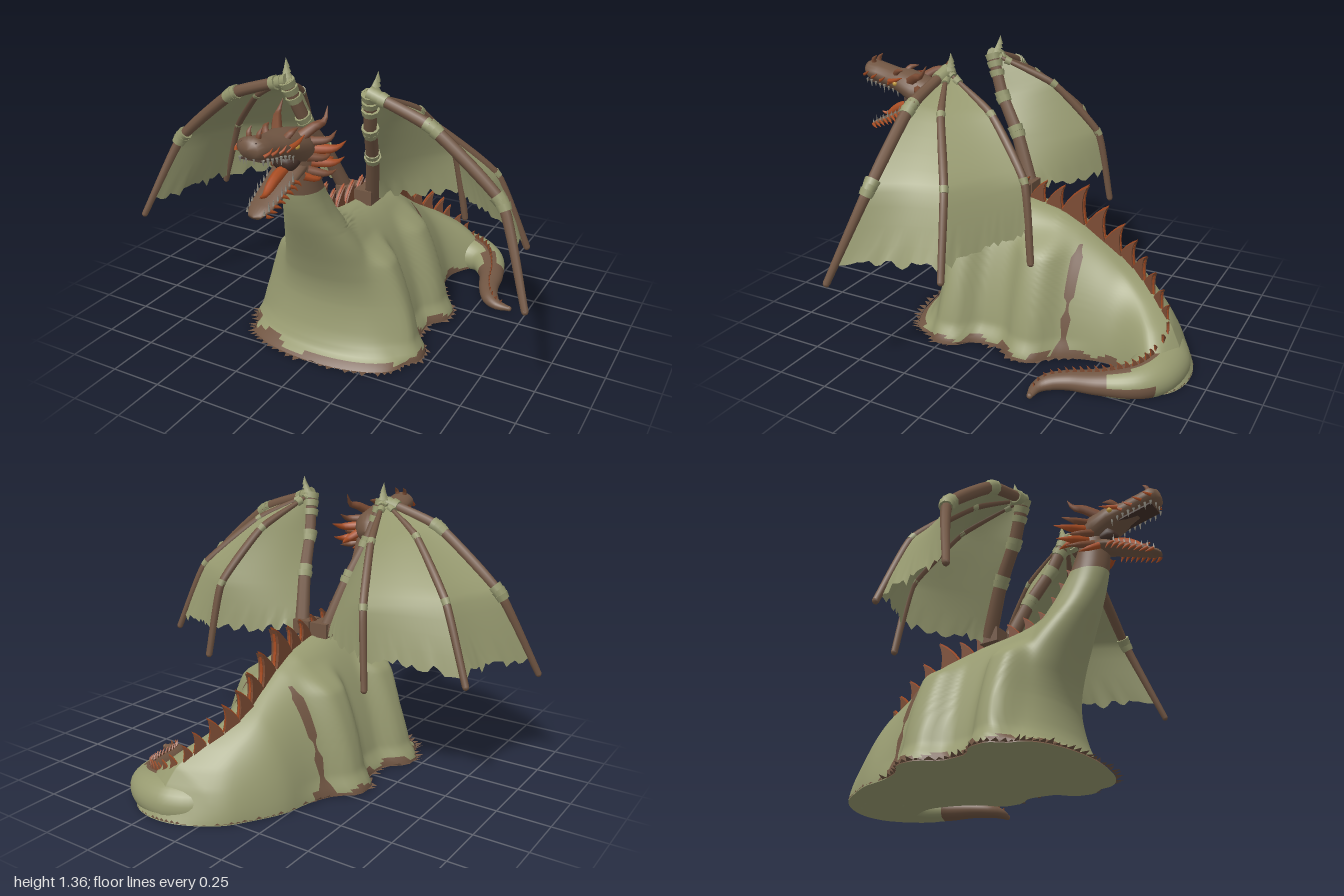
import * as THREE from 'three';
import { mergeGeometries } from 'three/addons/utils/BufferGeometryUtils.js';

const V = (x, y, z) => new THREE.Vector3(x, y, z);
const mat = (name, color, side = THREE.FrontSide) => {
  const m = new THREE.MeshStandardMaterial({ color, side });
  m.name = name;
  return m;
};
let seed = 7;
const rand = () => (seed = (seed * 16807) % 2147483647) / 2147483647;

// Piecewise-linear lookup in [key, value] pairs, and a softened version
function look(table, x) {
  if (x <= table[0][0]) return table[0][1];
  for (let i = 1; i < table.length; i++) {
    const [a, p] = table[i - 1], [b, q] = table[i];
    if (x <= b) return p + (q - p) * (x - a) / (b - a);
  }
  return table[table.length - 1][1];
}
const soft = (table, x) => [-0.06, -0.03, 0, 0.03, 0.06].reduce((sum, d) => sum + look(table, x + d) / 5, 0);
const spread = (list) => list.map((r, i) => [i / (list.length - 1), r]);

// Grid surface; pick(point, row, column) chooses the material group of each quad
function surface(rows, cols, wrap, fn, pick = () => 0) {
  const pos = [], lists = [[], []], n = wrap ? cols : cols + 1;
  for (let i = 0; i <= rows; i++) for (let j = 0; j < n; j++) pos.push(...fn(i, j).toArray());
  for (let i = 0; i < rows; i++) for (let j = 0; j < cols; j++) {
    const a = i * n + j, b = i * n + (j + 1) % n;
    const k = pick(V(pos[3 * a], pos[3 * a + 1], pos[3 * a + 2]), i, j);
    lists[k].push(a, b, a + n, b, b + n, a + n);
  }
  const g = new THREE.BufferGeometry();
  g.setAttribute('position', new THREE.Float32BufferAttribute(pos, 3));
  g.setIndex([...lists[0], ...lists[1]]);
  g.addGroup(0, lists[0].length, 0);
  g.addGroup(lists[0].length, lists[1].length, 1);
  g.computeVertexNormals();
  return g;
}

// Tube whose radius follows a list of values along the curve
function taper(curve, radii, segs = 10, sides = 7) {
  const g = new THREE.TubeGeometry(curve, segs, 1, sides), p = g.attributes.position, v = V(0, 0, 0);
  for (let i = 0; i < p.count; i++) {
    const u = Math.floor(i / (sides + 1)) / segs, c = curve.getPointAt(u);
    v.fromBufferAttribute(p, i).sub(c).multiplyScalar(look(spread(radii), u)).add(c);
    p.setXYZ(i, v.x, v.y, v.z);
  }
  return g;
}
const curveOf = (pts, tension = 0.5) => new THREE.CatmullRomCurve3(pts.map((p) => V(...p)), false, 'catmullrom', tension);
const horn = (pts, r) => taper(curveOf(pts), [r, r * 0.75, 0.001], 8, 6);
// Elliptical loft along z from [z, y, rx, ry] rows
const loft = (rows, n = 18) => surface(rows.length - 1, n, true, (i, j) => {
  const [z, y, rx, ry] = rows[i], a = j / n * Math.PI * 2;
  return V(rx * Math.cos(a), y + ry * Math.sin(a), z);
});

// Draped body: ridge height, base half-width, front edge and width limit
const RIDGE = [[-0.91, 0], [-0.85, 0.14], [-0.8, 0.22], [-0.7, 0.3], [-0.5, 0.43], [-0.3, 0.56], [-0.2, 0.61], [0, 0.65],
  [0.2, 0.67], [0.33, 0.7], [0.4, 0.79], [0.45, 0.87], [0.49, 0.94], [0.54, 1.06], [0.7, 1.5]];
const BACK = RIDGE.map(([z, y]) => [y, z]);
const BASE = [[-0.91, 0.22], [-0.8, 0.25], [-0.6, 0.24], [-0.35, 0.28], [-0.26, 0.33], [0.05, 0.34], [0.3, 0.38], [0.5, 0.4]];
const FRONT = [[0, 0.5], [0.06, 0.45], [0.2, 0.41], [0.33, 0.405], [0.45, 0.445], [0.55, 0.49], [0.65, 0.54],
  [0.75, 0.59], [0.85, 0.625], [0.92, 0.64], [1.06, 0.65]];
const LIMIT = [[0, 0.58], [0.2, 0.45], [0.4, 0.33], [0.5, 0.27], [0.6, 0.19], [0.7, 0.13], [0.8, 0.1], [0.9, 0.085], [1.06, 0.085]];
const smooth = THREE.MathUtils.smoothstep;
const shift = (z) => 0.2 * smooth(-z, 0.5, 0.92);
const quarter = (q) => q >= 1 ? 1 : Math.sqrt(Math.max(0, 1 - (1 - q) ** 2));
const frontAt = (y) => soft(FRONT, y) + 0.04 * (1 - smooth(y, 0, 0.05));

function halfWidth(y, z) {
  const s = Math.min(1, y / Math.max(look(RIDGE, z), 0.001));
  const bell = soft(BASE, z) * Math.sqrt(1 - s ** 1.5) + 1e-5;
  const w = (bell ** -4 + soft(LIMIT, y) ** -4) ** -0.25;
  const leg = Math.exp(-(((z - 0.23) / 0.09) ** 4)) + Math.exp(-(((z + 0.16) / 0.1) ** 4));
  const flare = 0.03 * (1 - smooth(y, 0, 0.1)) * smooth(z, -0.5, -0.2);
  const d = 0.17 - 0.07 * smooth(y, 0.45, 0.75);
  return (w + flare + 0.07 * leg * (1 - smooth(y, 0.45, 0.57))) * quarter((frontAt(y) - z) / d)
    * quarter((z - look(BACK, y)) / Math.max(0.01, 0.16 - y * 0.3));
}
function bodyPoint(y, u, grow = 0) {
  const side = u < 0.5 ? 1 : -1, t = u < 0.5 ? u * 2 : 2 - u * 2;
  const zf = frontAt(y), z = zf + (look(BACK, y) - zf) * (1 - Math.cos(Math.PI * t)) / 2;
  return V(side * (halfWidth(y, z) + grow * Math.sin(Math.PI * t)) + shift(z), y, z + grow * Math.cos(Math.PI * t));
}

export function createModel() {
  const root = new THREE.Group();
  const green = mat('clothGreen', 0x979a70), membrane = mat('wingGreen', 0x979a70, THREE.DoubleSide);
  const brown = mat('brown', 0x715643, THREE.DoubleSide), rust = mat('rust', 0x7c4c34);
  const orange = mat('orange', 0xa84c22), dark = mat('mouthDark', 0x45322a);
  const tooth = mat('tooth', 0x8f8b80), eyeMat = mat('eye', 0xc8a040);
  const add = (name, geo, m, parent = root) => {
    const mesh = new THREE.Mesh(Array.isArray(geo) ? mergeGeometries(geo) : geo, m);
    mesh.name = name;
    parent.add(mesh);
  };

  // Body drape and neck with brown hem and neck top
  const N = 86, C = 120, rowY = (i) => i < 4 ? i * 0.014 : 0.042 + (i - 3) / (N - 3) * 1.018;
  add('body', surface(N, C, true, (i, j) => bodyPoint(rowY(i), j / C), (p) =>
    p.y > 0.88 || (p.y < 0.021 + 0.014 * Math.sin(p.z * 37 + p.x * 9) && (p.z > -0.4 || (p.x > 0.15 && p.z > -0.7))) ? 1 : 0), [green, brown]);
  add('bodyUnderside', surface(1, C, true, (i, j) => {
    const p = bodyPoint(0, j / C);
    return i ? p : V(shift(p.z), 0, p.z);
  }), green);
  add('raggedHem', surface(1, 240, true, (i, j) => {
    const tip = i && j % 2, inFront = bodyPoint(0, j / 240).z > -0.42;
    const p = bodyPoint(0, j / 240, inFront && tip ? 0.01 + rand() * 0.035 : 0);
    p.y = 0.004 + (tip ? rand() * 0.015 : 0);
    return p;
  }), brown);
  // Ragged brown strips running down the flanks
  const STRIP = [[0, 0.045], [0.05, 0.03], [0.09, 0.01], [0.18, 0.022], [0.22, 0.006], [0.26, 0.006], [0.28, 0.022], [0.45, 0.024], [0.47, 0.012], [0.51, 0.006]];
  for (const s of [-1, 1]) add('flankStrip', surface(40, 6, false, (i, j) => {
    const y = 0.01 + i * 0.0122, z = -0.325 + look(STRIP, y) * (j / 3 - 1);
    return V(s * (halfWidth(y, z) + 0.006) + shift(z), y + 0.004, z);
  }), brown);

  // Curling tail, flattened toward the ground: brown tip, ridge line and outer lower edge
  const tailCurve = curveOf([[0.02, 0.05, -0.62], [0.12, 0.05, -0.74], [0.26, 0.05, -0.775], [0.39, 0.05, -0.73], [0.47, 0.046, -0.6],
    [0.51, 0.038, -0.46], [0.55, 0.03, -0.38], [0.6, 0.021, -0.345], [0.665, 0.015, -0.345]]);
  const TAIL = [0.1, 0.128, 0.133, 0.115, 0.088, 0.066, 0.052, 0.042, 0.014];
  const tailAt = (u, a) => {
    const t = tailCurve.getTangentAt(u).setY(0).normalize(), r = look(spread(TAIL), u);
    const p = tailCurve.getPointAt(u).addScaledVector(V(0, 1, 0).cross(t), r * Math.cos(a));
    p.y = Math.max(0, p.y + r * 0.85 * Math.sin(a));
    return p;
  };
  add('tail', surface(48, 32, true, (i, j) => tailAt(i / 48, j / 16 * Math.PI), (p, i, j) =>
    i > 28 || (i > 15 && (j === 7 || j === 8)) || (i > 20 && (j > 28 || j < 1)) || (i > 23 && j > 5 && j < 11) ? 1 : 0), [green, brown]);
  add('tailTip', new THREE.SphereGeometry(0.014, 10, 8).translate(0.665, 0.015, -0.345), brown);

  // Back fins along ridge and tail: rust core inside a thin orange rim
  const shape = new THREE.Shape();
  shape.moveTo(-0.5, -0.1);
  shape.quadraticCurveTo(-0.2, 0.65, 0.42, 1);
  shape.quadraticCurveTo(0.15, 0.55, 0.42, -0.35);
  const finShape = (depth, size) => new THREE.ExtrudeGeometry(shape, { depth, bevelEnabled: false, curveSegments: 5 })
    .translate(0, 0, -depth / 2).scale(size, size, 1);
  const coreBase = finShape(0.24, 0.92), rimBase = finShape(0.08, 1), cores = [], rims = [];
  const fin = (p, back, h) => {
    const x = back.clone().setY(0).normalize(), y = V(0, 1, 0);
    const m = new THREE.Matrix4().makeBasis(x, y, x.clone().cross(y)).scale(V(h, h, h)).setPosition(p);
    cores.push(coreBase.clone().applyMatrix4(m));
    rims.push(rimBase.clone().applyMatrix4(m));
  };
  for (const [z, h] of [[0.49, 0.06], [0.455, 0.08], [0.415, 0.09], [0.37, 0.09], [0.3, 0.09], [0.22, 0.1], [0.13, 0.1], [0.04, 0.1],
    [-0.05, 0.11], [-0.14, 0.12], [-0.24, 0.175], [-0.35, 0.15], [-0.44, 0.135], [-0.515, 0.12], [-0.585, 0.11], [-0.65, 0.1], [-0.71, 0.085], [-0.755, 0.065]])
    fin(V(shift(z), look(RIDGE, z) - 0.005, z), V(shift(z - 0.05) - shift(z), 0, -0.05), h);
  fin(V(0.185, 0.21, -0.79), V(1, 0, -0.3), 0.055);
  fin(V(0.235, 0.175, -0.79), V(1, 0, 0), 0.05);
  for (let i = 0; i < 19; i++) {
    const u = 0.34 + i * 0.034, p = tailAt(u, Math.PI / 2);
    p.y -= 0.003;
    fin(p, tailCurve.getTangentAt(u), 0.042 - i * 0.0011);
  }
  add('backFins', cores, rust);
  add('backFinRims', rims, orange);

  // Head: skull and snout, lower jaw, mouth lining, tongue
  const head = new THREE.Group();
  head.name = 'head';
  root.add(head);
  add('skull', loft([[0.49, 1.07, 0, 0], [0.5, 1.07, 0.05, 0.05], [0.54, 1.08, 0.085, 0.08], [0.61, 1.1, 0.1, 0.08], [0.68, 1.13, 0.092, 0.066],
    [0.75, 1.145, 0.077, 0.05], [0.83, 1.165, 0.072, 0.048], [0.885, 1.178, 0.07, 0.048], [0.91, 1.18, 0.045, 0.035], [0.915, 1.18, 0, 0]]), brown, head);
  add('lowerJaw', loft([[0.55, 1.02, 0, 0], [0.57, 1.02, 0.07, 0.035], [0.66, 0.995, 0.072, 0.03], [0.75, 0.955, 0.065, 0.022],
    [0.85, 0.912, 0.055, 0.018], [0.89, 0.895, 0.032, 0.014], [0.9, 0.893, 0, 0]]), brown, head);
  add('mouthLining', loft([[0.6, 1.05, 0.05, 0.04], [0.67, 1.05, 0.062, 0.045], [0.69, 1.05, 0.03, 0.02], [0.691, 1.05, 0, 0]]), dark, head);
  add('palate', new THREE.BoxGeometry(0.1, 0.008, 0.2).rotateX(-0.2).translate(0, 1.112, 0.79), dark, head);
  add('tongue', taper(curveOf([[0, 1.02, 0.65], [0, 0.995, 0.74], [0, 0.955, 0.81], [0, 0.96, 0.85]]), [0.025, 0.026, 0.02, 0.003], 12, 8), orange, head);

  // Teeth, horns, frill and jaw spikes, mirrored
  const teeth = [], horns = [], frill = [];
  for (const s of [-1, 1]) {
    for (let i = 0; i < 8; i++) {
      const f = i / 7, big = i % 3 ? 0.026 : 0.042;
      teeth.push(new THREE.ConeGeometry(0.007, big, 5).rotateX(Math.PI).translate(s * (0.066 - 0.012 * f * f), 1.1 + 0.035 * f - big / 3, 0.7 + 0.19 * f));
      teeth.push(new THREE.ConeGeometry(0.006, big, 5).translate(s * (0.062 - 0.022 * f * f), 0.992 - 0.085 * f + big / 3, 0.7 + 0.18 * f));
      frill.push(horn([[s * (0.064 - 0.02 * f), 0.985 - 0.085 * f, 0.7 + 0.18 * f], [s * (0.075 - 0.02 * f), 0.975 - 0.085 * f, 0.68 + 0.18 * f],
        [s * (0.08 - 0.02 * f), 0.955 - 0.07 * f, 0.665 + 0.18 * f]], 0.009));
      // orange upper lip scales
      if (i % 2) frill.push(horn([[s * (0.07 - 0.006 * f), 1.125 + 0.035 * f, 0.73 + 0.17 * f], [s * 0.077, 1.135 + 0.035 * f, 0.71 + 0.17 * f],
        [s * 0.079, 1.15 + 0.035 * f, 0.69 + 0.17 * f]], 0.008));
    }
    teeth.push(new THREE.ConeGeometry(0.007, 0.04, 5).rotateX(Math.PI).translate(s * 0.018, 1.135, 0.9));
    horns.push(horn([[s * 0.055, 1.15, 0.63], [s * 0.09, 1.185, 0.575], [s * 0.112, 1.2, 0.53], [s * 0.108, 1.255, 0.495]], 0.026));
    horns.push(horn([[s * 0.045, 1.17, 0.72], [s * 0.062, 1.195, 0.7], [s * 0.07, 1.205, 0.66]], 0.018));
    horns.push(horn([[s * 0.02, 1.21, 0.87], [s * 0.024, 1.235, 0.865], [s * 0.025, 1.255, 0.845]], 0.014));
    // broad swept spikes behind the cheek: [base y, base z, tip x, tip y, tip z, radius]
    [[0.985, 0.63, 0.1, 0.965, 0.54, 0.018], [1.0, 0.6, 0.15, 0.985, 0.5, 0.022], [1.03, 0.57, 0.165, 1.03, 0.46, 0.026], [1.06, 0.6, 0.125, 1.06, 0.5, 0.022],
      [1.085, 0.57, 0.17, 1.1, 0.45, 0.026], [1.12, 0.58, 0.14, 1.15, 0.48, 0.022], [1.05, 0.54, 0.1, 1.01, 0.44, 0.024]].forEach(([y, z, tx, ty, tz, r], i) =>
      (i % 2 ? horns : frill).push(horn([[s * 0.068, y, z], [s * (tx * 0.6 + 0.045), (y + ty) / 2 - 0.012, (z + tz) / 2], [s * tx, ty, tz]], r)));
    frill.push(horn([[s * 0.078, 1.145, 0.74], [s * 0.088, 1.155, 0.7], [s * 0.092, 1.175, 0.65]], 0.013));
    add('eye', new THREE.SphereGeometry(0.013, 10, 8).translate(s * 0.085, 1.14, 0.7), eyeMat, head);
    add('nostril', new THREE.SphereGeometry(0.009, 8, 6).translate(s * 0.03, 1.203, 0.898), dark, head);
  }
  add('teeth', teeth, tooth, head);
  add('horns', horns, rust, head);
  add('frillSpikes', frill, orange, head);

  // Wings: arm, three fingers, membrane, knuckle wraps, wrist spike
  for (const s of [-1, 1]) {
    const wing = new THREE.Group();
    wing.name = s > 0 ? 'leftWing' : 'rightWing';
    root.add(wing);
    const bone = (...pts) => curveOf([[0.21, 1.27, 0.315], ...pts].map(([x, y, z]) => [x * s, y, z]), 0.22);
    const bones = [
      bone([0.5, 1.17, 0.325], [0.82, 0.9, 0.325], [0.985, 0.51, 0.45]),
      bone([0.45, 1.14, 0.2], [0.69, 0.9, 0.04], [0.83, 0.555, -0.02]),
      bone([0.31, 1.13, 0.03], [0.4, 0.88, -0.18], [0.445, 0.525, -0.235]),
      bone([0.17, 1.08, 0.24], [0.125, 0.9, 0.13], [0.07, 0.67, 0.03])];
    const ends = [0.92, 0.93, 0.86, 1];
    add('membrane', surface(16, 60, false, (i, j) => {
      const k = Math.min(2, Math.floor(j / 20)), f = j / 20 - k, t = i / 16;
      const p = bones[k].getPoint(t * ends[k]).lerp(bones[k + 1].getPoint(t * ends[k + 1]), f);
      p.x -= s * 0.03 * Math.sin(Math.PI * f) * t;
      if (i === 16) p.y += (rand() - 0.6) * 0.045;
      return p;
    }), membrane, wing);
    const radii = [[0.024, 0.028, 0.027, 0.021, 0.016], [0.008, 0.018, 0.02, 0.018, 0.016], [0.008, 0.018, 0.02, 0.018, 0.016], [0.03, 0.03, 0.032, 0.036]];
    add('wingBones', bones.map((b, i) => taper(b, radii[i], 24, 8)), brown, wing);
    add('boneTips', bones.slice(0, 3).map((b) => new THREE.SphereGeometry(0.0155, 8, 6).translate(...b.getPoint(1).toArray())), brown, wing);
    add('shoulderJoint', new THREE.BoxGeometry(0.09, 0.07, 0.1).translate(s * 0.05, 0.675, 0.04), brown, wing);
    const wraps = [];
    const wrap = (b, t, r, len) => wraps.push(new THREE.CylinderGeometry(r * 0.88, r, len, 9)
      .applyQuaternion(new THREE.Quaternion().setFromUnitVectors(V(0, 1, 0), b.getTangent(t))).translate(...b.getPoint(t).toArray()));
    for (const t of [0.02, 0.055, 0.09, 0.3, 0.335, 0.37, 0.63, 0.66, 0.69]) wrap(bones[0], t, 0.03 + rand() * 0.006, 0.03);
    for (const t of [0.04, 0.1, 0.16, 0.33, 0.39, 0.6, 0.66]) wrap(bones[3], t, 0.036 + rand() * 0.007, 0.03);
    for (const b of [bones[1], bones[2]]) for (const t of [0.05, 0.1, 0.34, 0.66]) wrap(b, t, 0.021, 0.03);
    for (let i = 0; i < 5; i++)
      wraps.push(new THREE.ConeGeometry(0.038 - i * 0.006, 0.045, 8).rotateZ(-s * 0.08).translate(s * (0.215 + i * 0.003), 1.265 + i * 0.019, 0.305 - i * 0.006));
    add('knuckleWraps', wraps, green, wing);
  }
  return root;
}
